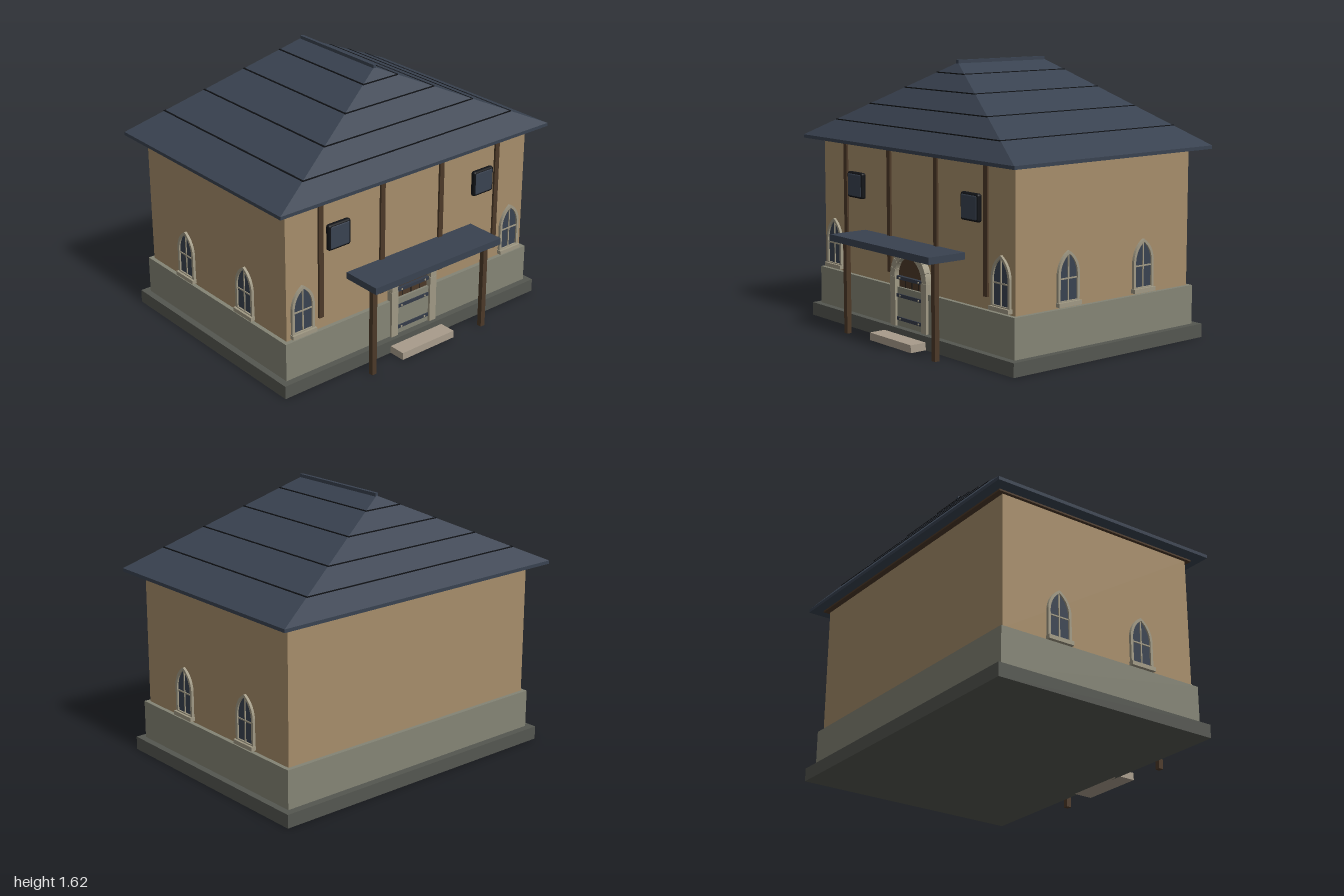
import * as THREE from 'three';
import { RoundedBoxGeometry } from 'three/addons/geometries/RoundedBoxGeometry.js';

const mat = (name, color) => {
  const m = new THREE.MeshStandardMaterial({ color });
  m.name = name;
  return m;
};

export function createModel() {
  const root = new THREE.Group();
  root.name = 'house';
  const M = {
    plaster: mat('plaster', 0xa68d6a),
    foundation: mat('foundationStone', 0x848475),
    plinth: mat('plinthStone', 0x545650),
    slate: mat('slate', 0x394250),
    seam: mat('darkSeam', 0x101216),
    wood: mat('timber', 0x4c3928),
    stone: mat('trimStone', 0xa09984),
    step: mat('stepStone', 0xa89c8b),
    iron: mat('iron', 0x343b48),
  };

  const add = (name, geo, material, parent = root) => {
    const m = new THREE.Mesh(geo, material);
    m.name = name;
    parent.add(m);
    return m;
  };
  // Box given by its extents on each axis
  const box = (name, material, x0, x1, y0, y1, z0, z1, parent = root) => {
    const m = add(name, new THREE.BoxGeometry(x1 - x0, y1 - y0, z1 - z0), material, parent);
    m.position.set((x0 + x1) / 2, (y0 + y1) / 2, (z0 + z1) / 2);
    return m;
  };
  const extrude = (shape, depth) =>
    new THREE.ExtrudeGeometry(shape, { depth, bevelEnabled: false, curveSegments: 10 });

  // Body
  box('plinth', M.plinth, -0.97, 0.97, 0, 0.08, -0.8, 0.64);
  box('foundation', M.foundation, -0.93, 0.93, 0.08, 0.31, -0.755, 0.6);
  box('walls', M.plaster, -0.905, 0.905, 0.31, 1.105, -0.73, 0.575);

  // Hipped roof with a short ridge
  box('soffitTrim', M.wood, -0.925, 0.925, 1.1, 1.11, -0.765, 0.605);
  box('eaves', M.slate, -1, 1, 1.11, 1.13, -0.825, 0.665);
  const EAVE = 1.13, TOP = 1.6, zF = 0.665, zB = -0.825, rF = 0.245, rB = -0.41;
  const A = [-1, EAVE, zF], B = [1, EAVE, zF], C = [1, EAVE, zB], D = [-1, EAVE, zB];
  const F = [0, TOP, rF], K = [0, TOP, rB];
  const roof = new THREE.BufferGeometry();
  roof.setAttribute('position', new THREE.Float32BufferAttribute(
    [A, B, F, B, C, K, B, K, F, C, D, K, D, A, F, D, F, K].flat(), 3));
  roof.computeVertexNormals();
  add('roof', roof, M.slate);
  box('ridgeCap', M.slate, -0.01, 0.01, 1.59, 1.615, rB, 0.25);

  // Thin dark course lines around the roof
  for (const y of [1.235, 1.34, 1.445, 1.54]) {
    const t = (y - EAVE) / (TOP - EAVE), o = 0.003;
    const x = 1 - t + o;
    box('roofCourse', M.seam, -x, x, y - 0.003, y + 0.003,
      zB + (rB - zB) * t - o, zF + (rF - zF) * t + o);
  }

  // Timber uprights and upper panels on the front
  for (const x of [-0.667, -0.223, 0.223, 0.667])
    box('timberUpright', M.wood, x - 0.016, x + 0.016, 0.38, 1.1, 0.57, 0.588);
  for (const x of [-0.547, 0.547]) {
    add('upperPanelEdge', new RoundedBoxGeometry(0.157, 0.157, 0.034, 3, 0.014), M.seam)
      .position.set(x, 0.858, 0.587);
    add('upperPanel', new RoundedBoxGeometry(0.143, 0.143, 0.034, 3, 0.012), M.slate)
      .position.set(x, 0.858, 0.589);
  }

  // Porch
  box('porchRoof', M.slate, -0.478, 0.478, 0.555, 0.595, 0.575, 0.825);
  for (const x of [-0.427, 0.427])
    box('porchPost', M.wood, x - 0.016, x + 0.016, 0, 0.555, 0.729, 0.759);
  box('doorStep', M.step, -0.2, 0.2, 0, 0.045, 0.62, 0.745);

  // Door with planks, straps and rivets
  const door = new THREE.Group();
  door.name = 'door';
  root.add(door);
  const AY = 0.37, RI = 0.13, RO = 0.173;
  const leaf = new THREE.Shape();
  leaf.moveTo(-RI, 0.08);
  leaf.lineTo(RI, 0.08);
  leaf.lineTo(RI, AY);
  leaf.absarc(0, AY, RI, 0, Math.PI, false);
  add('doorLeaf', extrude(leaf, 0.015), M.wood, door).position.z = 0.57;
  for (const x of [-0.065, 0, 0.065])
    box('plankGap', M.seam, x - 0.002, x + 0.002, 0.3, 0.37, 0.58, 0.587, door);
  for (const y of [0.125, 0.262, 0.367]) {
    box('strap', M.iron, -0.122, 0.122, y - 0.01, y + 0.01, 0.58, 0.607, door);
    for (const x of [-0.09, 0.09]) {
      const r = add('rivet', new THREE.CylinderGeometry(0.006, 0.006, 0.006, 8), M.stone, door);
      r.rotation.x = Math.PI / 2;
      r.position.set(x, y, 0.608);
    }
  }

  // Stone door surround: jambs and voussoirs
  for (const s of [-1, 1])
    box('jamb', M.stone, s * 0.1485 - 0.0245, s * 0.1485 + 0.0245, 0.08, AY, 0.57, 0.616);
  const N = 9;
  for (let i = 0; i < N; i++) {
    const a0 = (i / N) * Math.PI + 0.006, a1 = ((i + 1) / N) * Math.PI - 0.006;
    const s = new THREE.Shape();
    s.absarc(0, AY, RO, a0, a1, false);
    s.absarc(0, AY, RI, a1, a0, true);
    add('archStone', extrude(s, 0.046), M.stone).position.z = 0.57;
  }

  // Pointed window, with its back on local z = 0 and its base at local y = 0
  const pointed = (path, w, y0, spring, apex) => {
    path.moveTo(-w, y0);
    path.lineTo(w, y0);
    path.lineTo(w, spring);
    path.quadraticCurveTo(w * 0.9, spring + (apex - spring) * 0.65, 0, apex);
    path.quadraticCurveTo(-w * 0.9, spring + (apex - spring) * 0.65, -w, spring);
    path.closePath();
    return path;
  };
  const addWindow = (x, z, turn) => {
    const g = new THREE.Group();
    g.name = 'window';
    g.position.set(x, 0.32, z);
    g.rotation.y = turn;
    root.add(g);
    const frame = pointed(new THREE.Shape(), 0.078, 0.02, 0.185, 0.306);
    frame.holes.push(pointed(new THREE.Path(), 0.062, 0.03, 0.18, 0.288));
    add('windowFrame', extrude(frame, 0.016), M.stone, g);
    add('windowGlass', extrude(pointed(new THREE.Shape(), 0.064, 0.025, 0.18, 0.29), 0.006), M.slate, g);
    box('mullion', M.stone, -0.004, 0.004, 0.025, 0.285, 0, 0.011, g);
    box('transom', M.stone, -0.062, 0.062, 0.148, 0.156, 0, 0.011, g);
    box('sill', M.stone, -0.083, 0.083, 0, 0.024, -0.005, 0.03, g);
  };
  for (const s of [-1, 1]) {
    addWindow(s * 0.797, 0.575, 0);
    for (const z of [0.205, -0.365]) addWindow(s * 0.905, z, s * Math.PI / 2);
  }
  return root;
}
